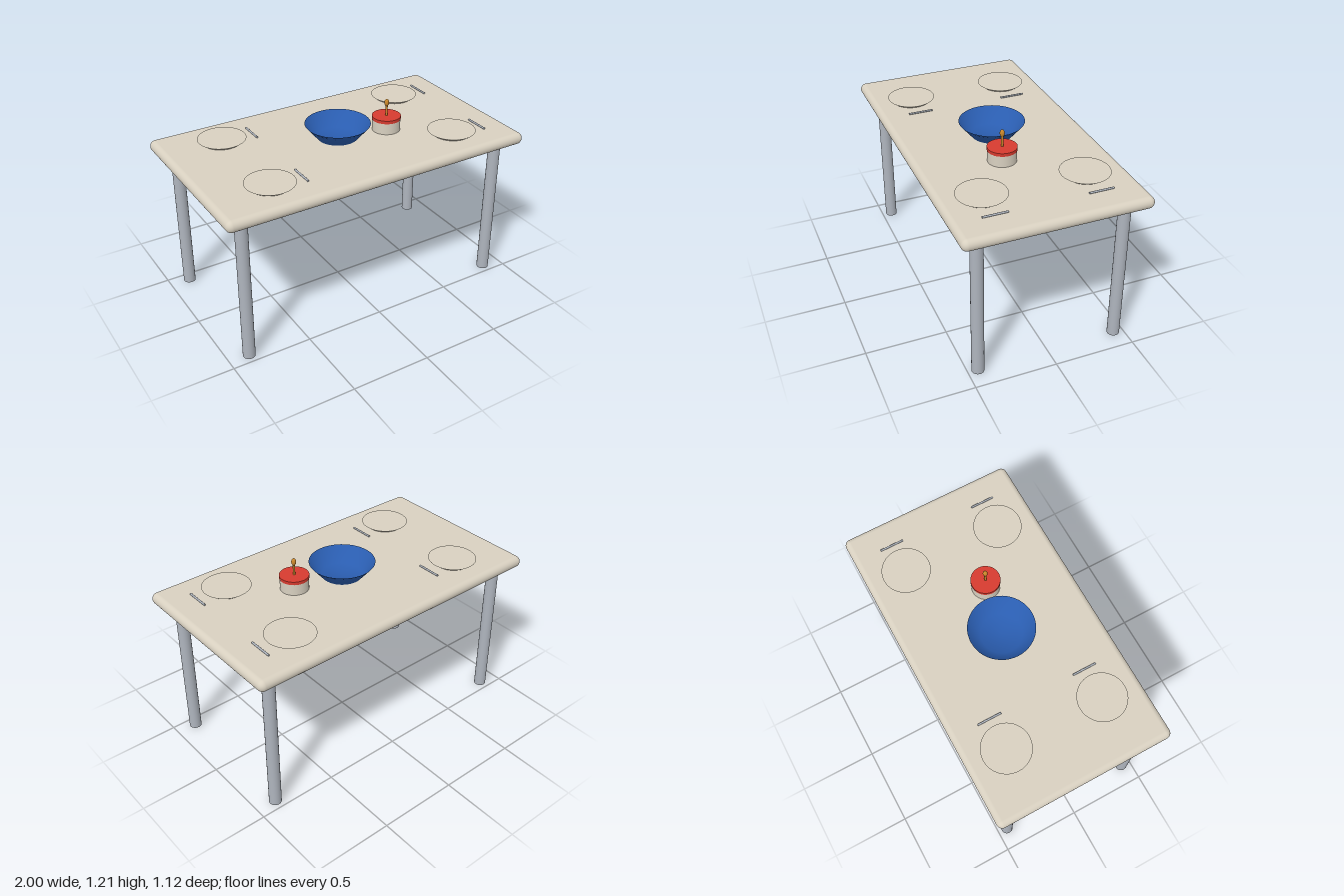
import * as THREE from 'three';
import { RoundedBoxGeometry } from 'three/addons/geometries/RoundedBoxGeometry.js';

export function createModel() {
  const model = new THREE.Group();
  model.name = 'diningTable';

  const material = (name, color, side = THREE.FrontSide) => {
    const m = new THREE.MeshStandardMaterial({ color, side });
    m.name = name;
    return m;
  };
  const cream = material('cream', 0xd8d0c0);
  const steel = material('steel', 0xaeb4bd);
  const blue = material('blue', 0x2a5db0, THREE.DoubleSide);
  const red = material('red', 0xd63b2f);
  const amber = material('amber', 0xc8862a);

  const add = (name, geometry, mat, x, y, z) => {
    const mesh = new THREE.Mesh(geometry, mat);
    mesh.name = name;
    mesh.position.set(x, y, z);
    model.add(mesh);
    return mesh;
  };
  const TOP = 1.008; // height of the table surface

  // Thick slab with fully rounded edges
  add('tableTop', new RoundedBoxGeometry(2, 0.074, 1.12, 6, 0.0369), cream, 0, TOP - 0.037, 0);

  // Legs, plates and cutlery repeat at the four corners
  const leg = new THREE.CylinderGeometry(0.0375, 0.0375, 0.94, 32);
  const plate = new THREE.CylinderGeometry(0.148, 0.12, 0.02, 48);
  const knife = new THREE.CylinderGeometry(0.006, 0.006, 0.15, 12).rotateX(Math.PI / 2);
  for (const sx of [-1, 1]) {
    for (const sz of [-1, 1]) {
      add('leg', leg, steel, sx * 0.872, 0.47, sz * 0.438);
      add('plate', plate, cream, sx * 0.625, TOP + 0.011, sz * 0.312);
      add('cutlery', knife, steel, sx * 0.625 + 0.199, TOP + 0.005, sz * 0.312);
    }
  }

  // Open bowl with a flat floor and flared side
  const bowlProfile = [[0, 0], [0.125, 0], [0.2, 0.09]].map(([r, y]) => new THREE.Vector2(r, y));
  add('bowl', new THREE.LatheGeometry(bowlProfile, 48), blue, 0, TOP + 0.002, 0);

  // Lidded pot with a tall knob
  const px = 0.312, pz = 0.062;
  add('potBody', new THREE.CylinderGeometry(0.0865, 0.0865, 0.072, 40), cream, px, TOP + 0.036, pz);
  add('potLid', new THREE.CylinderGeometry(0.089, 0.089, 0.02, 40), red, px, 1.09, pz);
  add('knobStem', new THREE.CylinderGeometry(0.007, 0.007, 0.08, 16), amber, px, 1.135, pz);
  add('knob', new THREE.SphereGeometry(0.0145, 24, 16), amber, px, 1.184, pz).scale.y = 1.55;

  return model;
}
